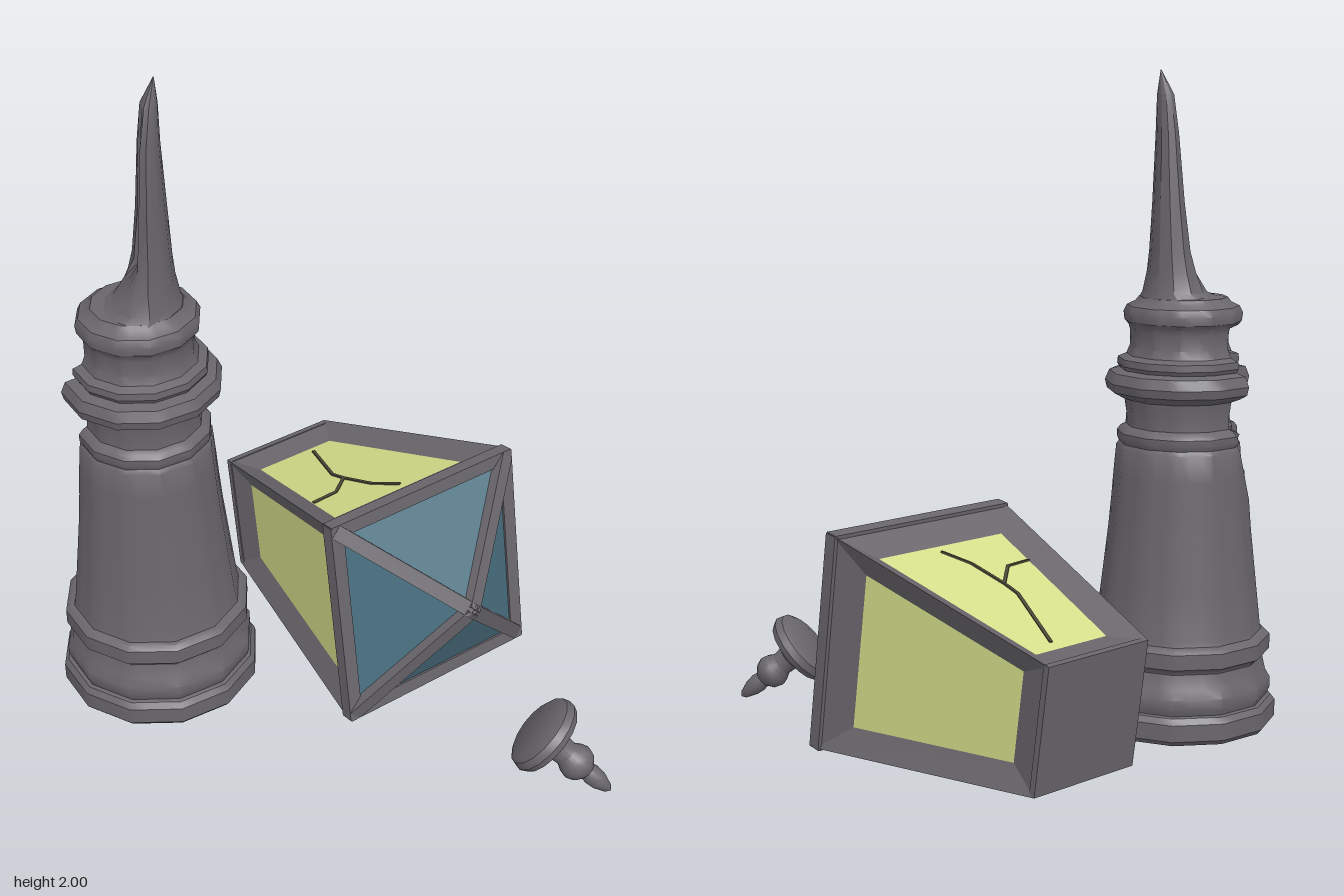
import * as THREE from 'three';
import { toCreasedNormals } from 'three/addons/utils/BufferGeometryUtils.js';

const paint = (color) => new THREE.MeshStandardMaterial({ color, side: THREE.DoubleSide });
const V = (x, y, z) => new THREE.Vector3(x, y, z);

function add(parent, name, geometry, material) {
  const mesh = new THREE.Mesh(geometry, material);
  mesh.name = name;
  parent.add(mesh);
  return mesh;
}

// Faceted surface from four-cornered faces
function quads(faces) {
  const pos = [];
  for (const [a, b, c, d] of faces) for (const p of [a, b, c, a, c, d]) pos.push(p.x, p.y, p.z);
  const g = new THREE.BufferGeometry();
  g.setAttribute('position', new THREE.Float32BufferAttribute(pos, 3));
  g.computeVertexNormals();
  return g;
}

// Square bar between two points
function bar(parent, name, a, b, width, depth, material, outward) {
  const mesh = add(parent, name, new THREE.BoxGeometry(width, depth, a.distanceTo(b)), material);
  const dir = b.clone().sub(a).normalize();
  const side = outward.clone().cross(dir).normalize();
  mesh.quaternion.setFromRotationMatrix(new THREE.Matrix4().makeBasis(side, dir.clone().cross(side), dir));
  mesh.position.copy(a).add(b).multiplyScalar(0.5);
}

// Turned post, twelve-sided, with a chipped notch in its collar
function postGeometry() {
  const profile = [[0, .06], [.283, .06], [.296, .075], [.296, .125], [.283, .142], [.272, .145], [.28, .165],
    [.28, .195], [.265, .22], [.255, .265], [.258, .272], [.276, .285], [.276, .33], [.262, .343], [.25, .345],
    [.246, .36], [.23, .5], [.213, .65], [.205, .74], [.199, .82], [.192, .9], [.184, .912], [.19, .925], [.19, .945],
    [.18, .958], [.165, .965], [.163, 1.0], [.17, 1.045], [.195, 1.055], [.222, 1.07], [.228, 1.095], [.215, 1.125],
    [.185, 1.133], [.192, 1.145], [.19, 1.165], [.165, 1.175], [.155, 1.2], [.155, 1.245], [.16, 1.262],
    [.172, 1.275], [.175, 1.3], [.165, 1.32], [.14, 1.332], [.13, 1.345], [0, 1.36]];
  const g = new THREE.LatheGeometry(profile.map(([r, y]) => new THREE.Vector2(r, y)), 36);
  const p = g.attributes.position;
  const facet = Math.PI / 6;
  for (let i = 0; i < p.count; i++) {
    const a = Math.atan2(p.getX(i), p.getZ(i)), y = p.getY(i);
    let r = Math.hypot(p.getX(i), p.getZ(i));
    const off = ((a % facet) + facet) % facet - facet / 2;
    r *= Math.cos(facet / 2) / Math.cos(off);
    // notch faces -x and narrows to a point below
    const half = 0.42 * THREE.MathUtils.clamp((y - 0.78) / 0.18, 0, 1);
    if (y > 0.8 && y < 1.25 && Math.abs(a + Math.PI / 2) < half) r = Math.min(r, y < 1 ? 0.15 : 0.12);
    p.setXYZ(i, r * Math.sin(a), y, r * Math.cos(a));
  }
  return toCreasedNormals(g, 0.6);
}

// Splintered shard: sections hollowed on the broken side, running to a tip
function shardGeometry() {
  // y, x range, z range, hollow
  const sections = [[1.33, -.69, -.425, .135, .405, 0], [1.36, -.635, -.44, .15, .385, .1],
    [1.42, -.612, -.452, .162, .375, .4], [1.48, -.597, -.458, .17, .36, .8], [1.62, -.575, -.465, .18, .345, .9],
    [1.82, -.55, -.472, .205, .315, .8], [1.93, -.53, -.475, .215, .275, .4], [2, -.487, -.485, .23, .232, 0]];
  const n = 12;
  const rings = sections.map(([y, x0, x1, z0, z1, hollow]) => Array.from({ length: n }, (_, i) => {
    const a = i / n * Math.PI * 2;
    const bite = 1 - hollow * Math.max(0, Math.cos(a - 3.6 * Math.PI / 3)) ** 2;
    return V((x0 + x1) / 2 + Math.cos(a) * bite * (x1 - x0) / 2, y,
      (z0 + z1) / 2 - Math.sin(a) * bite * (z1 - z0) / 2);
  }));
  const faces = [];
  for (let k = 0; k < rings.length - 1; k++) for (let i = 0; i < n; i++) {
    const j = (i + 1) % n;
    faces.push([rings[k][i], rings[k][j], rings[k + 1][j], rings[k + 1][i]]);
  }
  return toCreasedNormals(quads(faces), 0.55);
}

// Lantern head, built upright with its roof base at y = 0
function lantern(metal, glow, roofGlass, dark) {
  const g = new THREE.Group();
  g.name = 'lanternHead';
  const R = 0.33, r = 0.19, H = 0.766, top = 0.22, recess = 0.035;
  const half = (t) => R + t * (R - r) / H;
  const ring = (t, w, z) => [V(-w, t, z), V(w, t, z)];

  for (let k = 0; k < 4; k++) {
    const side = new THREE.Group();
    side.name = 'lanternSide';
    side.rotation.y = k * Math.PI / 2;
    g.add(side);
    // bevelled frame around a recessed pane
    const [a, b] = ring(-H, r, r), [d, c] = ring(0, R, R);
    const t0 = -0.66, t1 = -0.1;
    const [e, f] = ring(t0, half(t0) - 0.075, half(t0) - recess);
    const [h, i] = ring(t1, half(t1) - 0.077, half(t1) - recess);
    add(side, 'sideFrame', quads([[a, b, f, e], [b, c, i, f], [c, d, h, i], [d, a, e, h]]), metal);
    add(side, 'sidePane', quads([[e, f, i, h]]), glow);
    // roof rim and hip rail
    const m = R - 0.018;
    bar(side, 'roofRim', V(-R, 0.005, m), V(R, 0.005, m), 0.042, 0.042, metal, V(0, 1, 0));
    bar(side, 'roofRail', V(m, 0.012, m), V(0, top - 0.008, 0), 0.044, 0.034, metal, V(1, 2, 1));
  }

  const roof = new THREE.ConeGeometry((R - 0.01) * Math.SQRT2, top - 0.01, 4, 1, true).toNonIndexed();
  roof.rotateY(Math.PI / 4).translate(0, (top - 0.01) / 2, 0);
  roof.computeVertexNormals();
  add(g, 'roofPanes', roof, roofGlass);
  add(g, 'lanternFloor', new THREE.BoxGeometry(2 * r, 0.02, 2 * r).translate(0, 0.01 - H, 0), metal);

  // branching crack on the upper pane
  const cracks = [[[.049, -.627], [-.038, -.394], [-.037, -.336], [-.118, -.261], [-.204, -.255]],
    [[-.037, -.336], [-.018, -.213], [.026, -.129]]];
  for (const path of cracks) {
    const pts = path.map(([x, t]) => V(x, t, recess - 0.002 - half(t)));
    for (let i = 1; i < pts.length; i++) bar(g, 'crack', pts[i - 1], pts[i], 0.01, 0.005, dark, V(0, 0.18, -1));
  }

  // lay it on its side
  const u = V(.645, 0, -.765).normalize(), n = V(.755, .142, .64).normalize();
  const w = u.clone().cross(n).normalize();
  g.quaternion.setFromRotationMatrix(new THREE.Matrix4().makeBasis(w.clone().cross(n).negate(), n, w));
  g.position.set(.224, .375, .084);
  return g;
}

export function createModel() {
  const model = new THREE.Group();
  model.name = 'brokenLampPost';
  const metal = paint(0x69666c), glow = paint(0xd4de8a), roofGlass = paint(0x4a7080), dark = paint(0x4a4a38);

  add(model, 'post', postGeometry(), metal).position.set(-.56, 0, .267);
  add(model, 'brokenShard', shardGeometry(), metal);
  model.add(lantern(metal, glow, roofGlass, dark));

  // fallen finial
  const knob = [[0, 0], [.095, 0], [.115, .012], [.122, .035], [.112, .055], [.065, .066], [.042, .085], [.038, .12],
    [.05, .142], [.055, .162], [.047, .185], [.027, .203], [.03, .222], [.027, .25], [.014, .285], [0, .298]];
  const finial = add(model, 'finial', toCreasedNormals(
    new THREE.LatheGeometry(knob.map(([x, y]) => new THREE.Vector2(x, y)), 16), 0.7), metal);
  finial.position.set(.62, .197, .445);
  finial.quaternion.setFromUnitVectors(V(0, 1, 0), V(.76, -.65, 0).normalize());
  return model;
}
